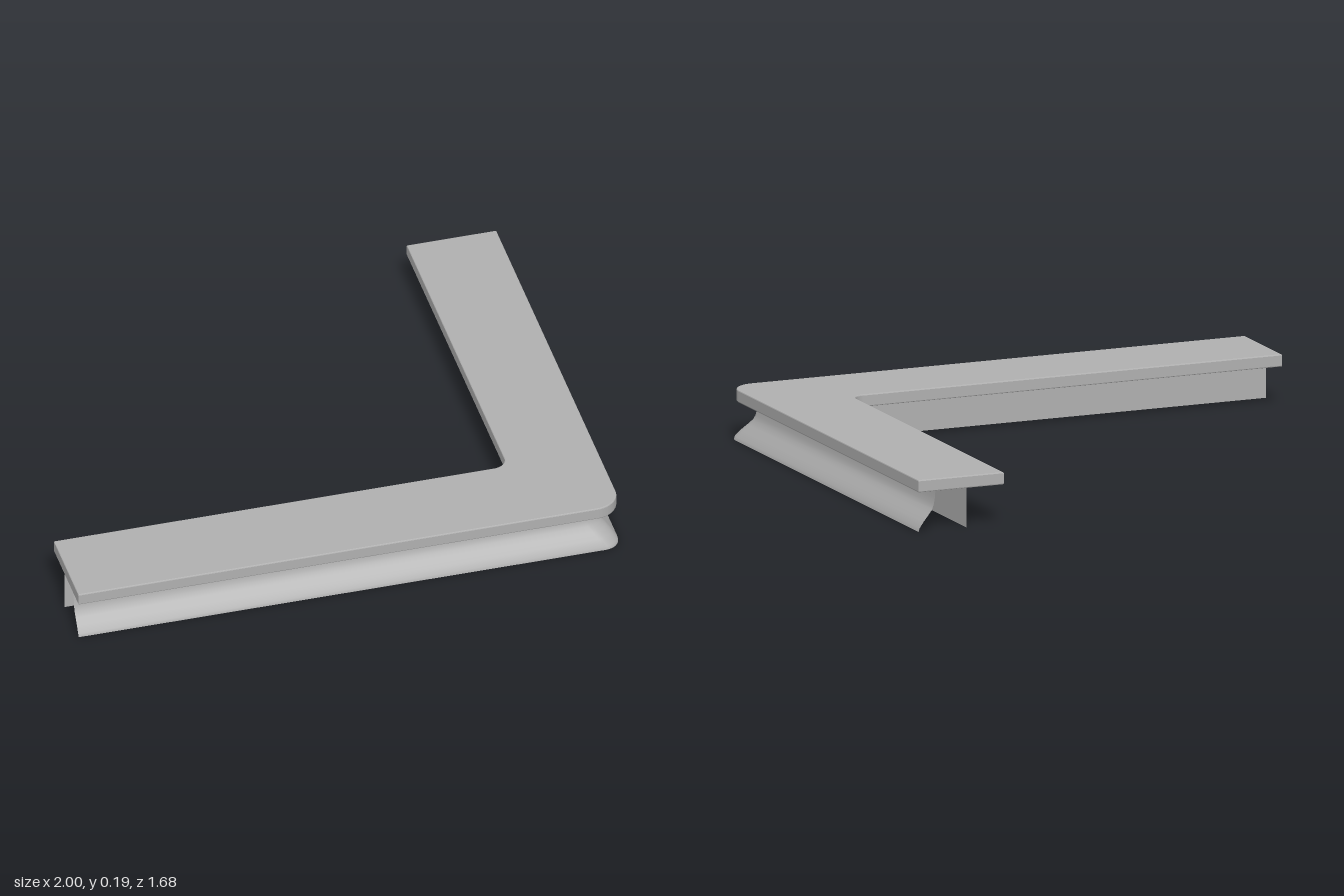
import * as THREE from 'three';

const END_X = -1, END_Z = -0.84; // free ends of the two arms
const OUT_X = 1, OUT_Z = 0.84;   // outer faces of the counter

// Points along the L at a given inset from the outer faces, as [x, z]
function cornerPath(inset, radius, steps) {
  const x = OUT_X - inset, z = OUT_Z - inset;
  const points = [[END_X, z]];
  for (let i = 0; i <= steps; i++) {
    const a = (i / steps) * Math.PI / 2;
    points.push([x - radius + radius * Math.sin(a), z - radius + radius * Math.cos(a)]);
  }
  points.push([x, END_Z]);
  return points;
}

// Thin sheet swept around the L from a profile of [inset, y], bottom to top
function sweepSheet(profile, radius, steps) {
  const positions = [], index = [];
  const n = steps + 3;
  for (const [inset, y] of profile) {
    for (const [x, z] of cornerPath(inset, radius, steps)) positions.push(x, y, z);
  }
  for (let j = 0; j < profile.length - 1; j++) {
    for (let i = 0; i < n - 1; i++) {
      const a = j * n + i, b = a + 1, c = a + n, d = c + 1;
      index.push(a, b, d, a, d, c);
    }
  }
  const geometry = new THREE.BufferGeometry();
  geometry.setAttribute('position', new THREE.Float32BufferAttribute(positions, 3));
  geometry.setIndex(index);
  geometry.computeVertexNormals();
  return geometry;
}

export function createModel() {
  const group = new THREE.Group();
  group.name = 'cornerCounter';
  const grey = new THREE.MeshStandardMaterial({ color: 0xb0b0b0, side: THREE.DoubleSide });
  grey.name = 'grey';
  const add = (name, geometry) => {
    const mesh = new THREE.Mesh(geometry, grey);
    mesh.name = name;
    group.add(mesh);
  };

  // Worktop: L outline in plan (shape y is -z), rounded at both corners
  const w = 0.33, r = 0.09, ri = 0.05;
  const shape = new THREE.Shape();
  shape.moveTo(END_X, -OUT_Z);
  shape.lineTo(OUT_X - r, -OUT_Z);
  shape.absarc(OUT_X - r, -OUT_Z + r, r, -Math.PI / 2, 0, false);
  shape.lineTo(OUT_X, -END_Z);
  shape.lineTo(OUT_X - w, -END_Z);
  shape.lineTo(OUT_X - w, -OUT_Z + w + ri);
  shape.absarc(OUT_X - w - ri, -OUT_Z + w + ri, ri, 0, -Math.PI / 2, true);
  shape.lineTo(END_X, -OUT_Z + w);
  shape.closePath();
  const top = new THREE.ExtrudeGeometry(shape, {
    depth: 0.037, bevelEnabled: true, bevelThickness: 0.004, bevelSize: 0.004,
    bevelOffset: -0.004, bevelSegments: 2, curveSegments: 10,
  });
  top.rotateX(-Math.PI / 2);
  top.translate(0, 0.147, 0);
  add('worktop', top);

  // Front panel: upright at the top, curving out to a flared foot
  add('frontPanel', sweepSheet([
    [0, 0], [0.003, 0.012], [0.02, 0.036], [0.038, 0.058], [0.052, 0.076],
    [0.059, 0.095], [0.063, 0.12], [0.065, 0.145],
  ], 0.06, 10));

  // Back panels: plain upright sheets meeting at a square corner
  const h = 0.145, backX = OUT_X - 0.185, backZ = OUT_Z - 0.185;
  const longBack = new THREE.PlaneGeometry(backX - END_X, h);
  longBack.translate((backX + END_X) / 2, h / 2, backZ);
  add('longBackPanel', longBack);
  const shortBack = new THREE.PlaneGeometry(backZ - END_Z, h);
  shortBack.rotateY(Math.PI / 2);
  shortBack.translate(backX, h / 2, (backZ + END_Z) / 2);
  add('shortBackPanel', shortBack);

  return group;
}
